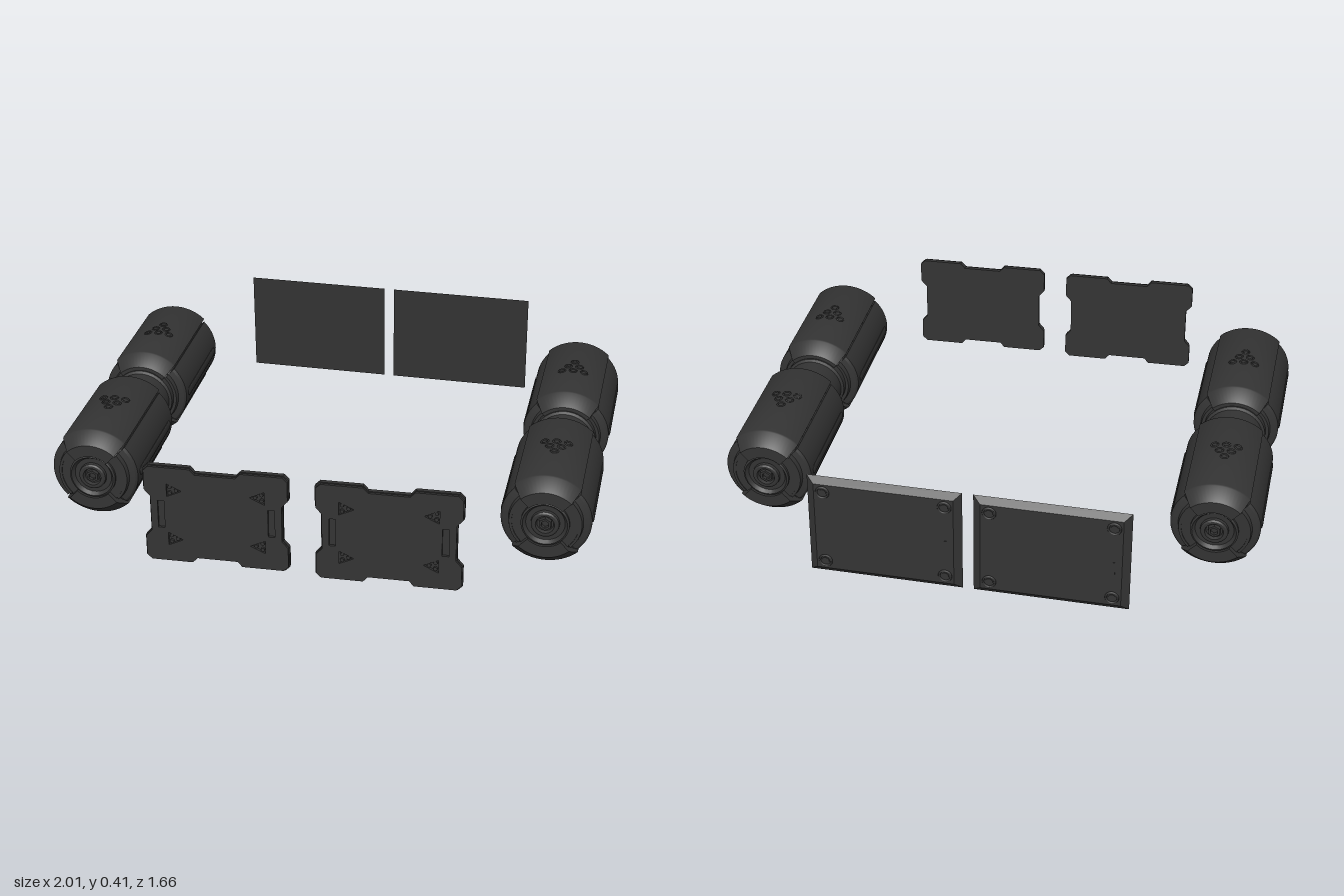
import * as THREE from 'three';
import { mergeGeometries, toCreasedNormals } from 'three/addons/utils/BufferGeometryUtils.js';

const dark = new THREE.MeshStandardMaterial({ color: 0x333333, side: THREE.DoubleSide });
const V = (x, y) => new THREE.Vector2(x, y);

function add(parent, name, geometry, x = 0, y = 0, z = 0) {
  const m = new THREE.Mesh(geometry, dark);
  m.name = name;
  m.position.set(x, y, z);
  parent.add(m);
  return m;
}

// Full turned part along z, from [radius, z] points
const turned = (pts, sides = 48) =>
  toCreasedNormals(new THREE.LatheGeometry(pts.map(p => V(...p)), sides).rotateX(Math.PI / 2), 0.5);

// Closed profile swept through part of a turn, with flat ends
function sector(pts, mid, span) {
  const ring = pts.map(p => V(...p));
  const start = mid - span / 2;
  const parts = [new THREE.LatheGeometry([...ring, ring[0]], 16, start, span)];
  for (const a of [start, start + span])
    parts.push(new THREE.ShapeGeometry(new THREE.Shape(ring)).rotateY(a - Math.PI / 2));
  return toCreasedNormals(mergeGeometries(parts).rotateX(Math.PI / 2), 0.5);
}

// One armoured drum, centred on its own middle
function makeDrum() {
  const g = new THREE.Group();
  g.name = 'drum';
  add(g, 'core', turned([[0, -0.25], [0.122, -0.25], [0.132, -0.24], [0.132, -0.232], [0.15, -0.225],
    [0.15, 0.225], [0.132, 0.232], [0.132, 0.24], [0.122, 0.25], [0, 0.25]]));

  // Tall shells above and below, wrapped over the drum ends
  const tall = [[0.087, -0.27], [0.132, -0.27], [0.172, -0.222], [0.174, -0.215], [0.174, 0.215],
    [0.172, 0.222], [0.132, 0.27], [0.087, 0.27]];
  // Lower shells at both sides
  const low = [[0.12, -0.253], [0.13, -0.253], [0.134, -0.235], [0.155, -0.23], [0.163, -0.222],
    [0.163, 0.222], [0.155, 0.23], [0.134, 0.235], [0.13, 0.253], [0.12, 0.253]];
  for (const s of [0, 1]) {
    add(g, s ? 'upperShell' : 'lowerShell', sector(tall, s * Math.PI, 1.5));
    add(g, 'sideShell', sector(low, Math.PI * (s - 0.5), 1.54));

    // Long rib on the side shell
    const rib = new THREE.CapsuleGeometry(0.018, 0.355, 6, 16).rotateX(Math.PI / 2).scale(0.25, 1, 1);
    add(g, 'sideRib', rib, s ? 0.163 : -0.163, 0, 0);

    // Triangle of six small rings on the tall shell
    for (let row = 0; row < 3; row++)
      for (let i = 0; i <= row; i++) {
        const a = (i - row / 2) * 0.25;
        const up = s ? 1 : -1;
        const dot = add(g, 'gripRing', new THREE.TorusGeometry(0.013, 0.0035, 6, 16).rotateX(Math.PI / 2),
          Math.sin(a) * 0.174, up * Math.cos(a) * 0.174, 0.037 * (1 - row));
        dot.rotation.z = -a * up;
      }
  }

  // End hub with a six-sided socket
  add(g, 'endRing', turned([[0.07, 0.248], [0.087, 0.248], [0.087, 0.26], [0.08, 0.264], [0.07, 0.25]]));
  add(g, 'hub', turned([[0.052, 0.245], [0.05, 0.262], [0.044, 0.266], [0.034, 0.266], [0.03, 0.253]]));
  add(g, 'socket', turned([[0.026, 0.248], [0.024, 0.264], [0.015, 0.264], [0.014, 0.252]], 6));
  return g;
}

function makeBarrel(x) {
  const g = new THREE.Group();
  g.name = 'barrel';
  g.position.set(x, 0.203, 0.0245);
  add(g, 'neck', turned([[0.118, -0.11], [0.118, -0.05], [0.108, -0.045], [0.108, 0.045], [0.118, 0.05], [0.118, 0.11]]));
  for (const s of [1, -1]) {
    const drum = makeDrum();
    drum.position.z = 0.3255 * s;
    if (s < 0) drum.rotation.y = Math.PI;
    g.add(drum);
  }
  return g;
}

// Plate outline with a shallow notch in each edge
function plateOutline(w, h) {
  const c = 0.018, quarter = [[w, 0.07], [w, 0.07]];
  quarter[0] = [w - 0.022, 0.072];
  quarter[1] = [w, 0.098];
  quarter.push([w, h - c], [w - c, h], [0.092, h], [0.075, h - 0.02]);
  const flip = (sx, sy) => quarter.map(([x, y]) => V(x * sx, y * sy));
  return [...flip(1, 1), ...flip(-1, 1).reverse(), ...flip(-1, -1), ...flip(1, -1).reverse()];
}

function makeFrontPlate(x) {
  const g = new THREE.Group();
  g.name = 'frontPlate';
  g.position.set(x, 0.21, 0.811);
  g.rotation.y = 0.03;
  const outline = plateOutline(0.263, 0.195);
  add(g, 'plateBase', new THREE.ExtrudeGeometry(new THREE.Shape(outline), { depth: 0.016, bevelEnabled: false }), 0, 0, -0.013);

  // Face layer with slots and triangular recesses
  const face = new THREE.Shape(outline.map(p => V(p.x * 0.985, p.y * 0.98)));
  for (const s of [-1, 1]) {
    const sx = s * 0.2;
    face.holes.push(new THREE.Path([V(sx - 0.012, -0.055), V(sx + 0.012, -0.055), V(sx + 0.012, 0.055), V(sx - 0.012, 0.055)]));
    for (const t of [-1, 1]) {
      const cx = s * 0.15, cy = t * 0.1;
      face.holes.push(new THREE.Path([V(cx + s * 0.027, cy - 0.026), V(cx + s * 0.027, cy + 0.026), V(cx - s * 0.027, cy)]));
      for (const [dx, dy] of [[0.016, 0.012], [0.016, -0.012], [-0.007, 0]])
        add(g, 'stud', new THREE.CylinderGeometry(0.007, 0.008, 0.008, 10).rotateX(Math.PI / 2), cx + s * dx, cy + dy, 0.006);
    }
  }
  add(g, 'plateFace', new THREE.ExtrudeGeometry(face, { depth: 0.009, bevelEnabled: false }), 0, 0, 0.003);
  return g;
}

function makeBackPlate(x) {
  const g = new THREE.Group();
  g.name = 'backPlate';
  g.position.set(x, 0.205, -0.803);
  g.rotation.x = 0.035;

  // Slab with its rear face drawn in to make a bevel
  const slab = new THREE.BoxGeometry(0.565, 0.41, 0.02);
  const p = slab.attributes.position;
  for (let i = 0; i < p.count; i++)
    if (p.getZ(i) < 0) p.setXY(i, p.getX(i) * 0.9, p.getY(i) * 0.88);
  slab.computeVertexNormals();
  add(g, 'slab', slab, 0, 0, -0.01);

  // Corner fixings and a slim rear strip
  for (const sx of [-1, 1])
    for (const sy of [-1, 1]) {
      add(g, 'cornerRing', new THREE.TorusGeometry(0.022, 0.004, 6, 20), sx * 0.222, sy * 0.148, -0.02);
      add(g, 'cornerStud', new THREE.CylinderGeometry(0.014, 0.014, 0.004, 16).rotateX(Math.PI / 2), sx * 0.222, sy * 0.148, -0.021);
    }
  add(g, 'rearStrip', new THREE.BoxGeometry(0.008, 0.07, 0.003), -0.225, -0.03, -0.021);
  return g;
}

export function createModel() {
  const model = new THREE.Group();
  model.name = 'barrelsAndPlates';
  for (const s of [-1, 1]) model.add(makeBarrel(s * 0.836));
  for (const x of [-0.308, 0.314]) model.add(makeFrontPlate(x));
  for (const x of [-0.292, 0.313]) model.add(makeBackPlate(x));
  return model;
}
